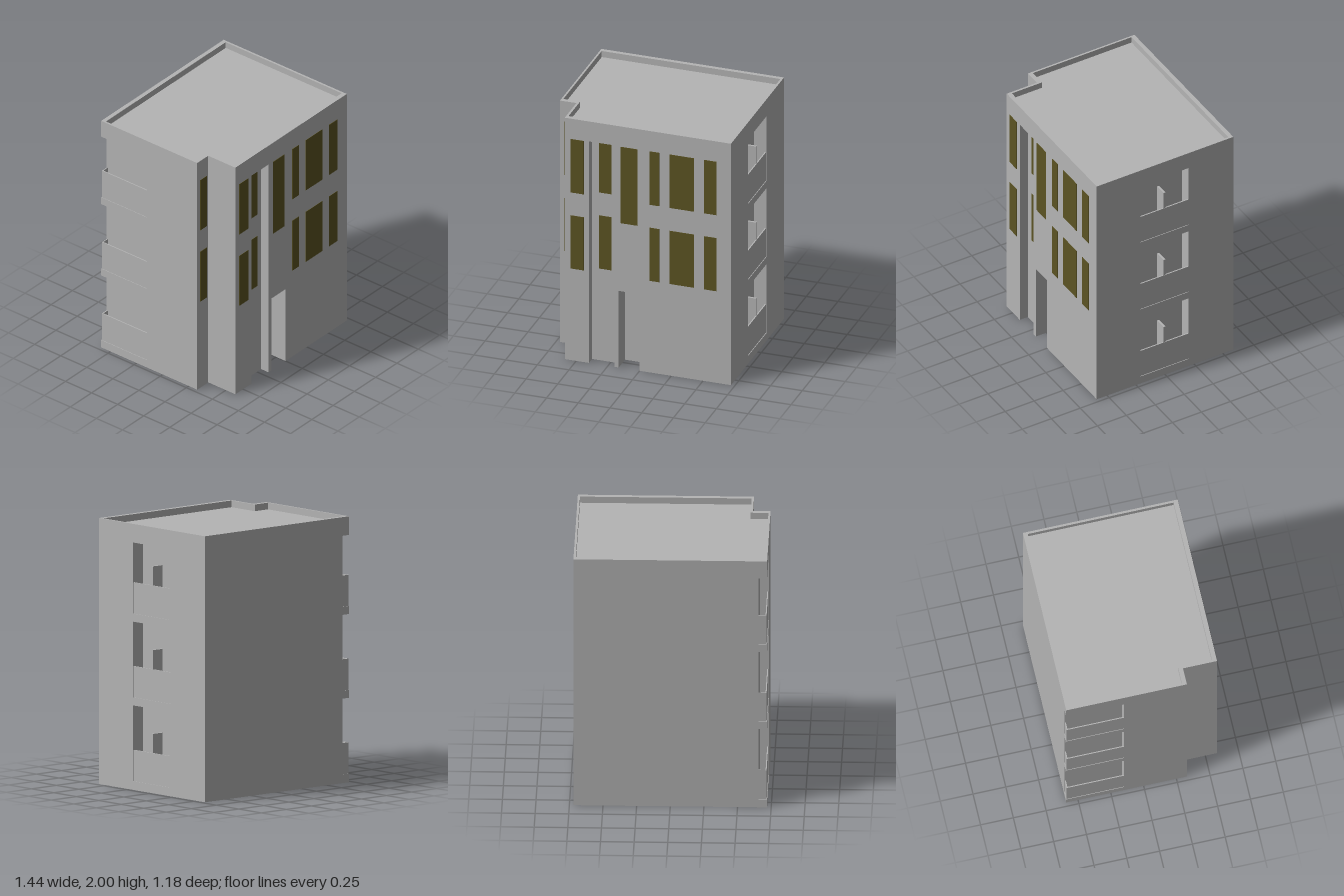
import * as THREE from 'three';

const W = 0.72, D = 0.59, H = 2, ROOF = 1.95;
const NX = -0.59, NZ = 0.33;            // front corner step
const LX = -0.655, LZ = -0.15;          // corner balcony inner limits
// floor, railing top, divider top and ceiling of each balcony level
const LEVELS = [
  [0.065, 0.3, 0.445, 0.635],
  [0.695, 0.93, 1.075, 1.265],
  [1.325, 1.56, 1.705, 1.86],
];

export function createModel() {
  const model = new THREE.Group();
  model.name = 'building';

  const wall = new THREE.MeshStandardMaterial({ color: 0xb4b4b4, side: THREE.DoubleSide });
  wall.name = 'wall grey';
  const glass = new THREE.MeshStandardMaterial({ color: 0x5b5322, side: THREE.DoubleSide });
  glass.name = 'window olive';

  const add = (name, geo, mat = wall, parent = model) => {
    const mesh = new THREE.Mesh(geo, mat);
    mesh.name = name;
    parent.add(mesh);
    return mesh;
  };
  const path = (pts) => pts.map(([u, v]) => new THREE.Vector2(u, v));
  const rect = (u0, u1, v0, v1) => [[u0, v0], [u1, v0], [u1, v1], [u0, v1]];

  // Flat sheet across one axis: z uses (x, y), x uses (z, y), y uses (x, z)
  function sheet(name, axis, at, pts, holes = [], parent = model) {
    const shape = new THREE.Shape(path(pts));
    holes.forEach((h) => shape.holes.push(new THREE.Path(path(h))));
    const geo = new THREE.ShapeGeometry(shape);
    if (axis === 'x') geo.rotateY(-Math.PI / 2).translate(at, 0, 0);
    else if (axis === 'y') geo.rotateX(Math.PI / 2).translate(0, at, 0);
    else geo.translate(0, 0, at);
    return add(name, geo, wall, parent);
  }

  // Recess lined on every side except the open ones
  function pocket(name, [x0, x1], [y0, y1], [z0, z1], open) {
    const group = new THREE.Group();
    group.name = name;
    model.add(group);
    const sides = {
      '-x': ['x', x0, rect(z0, z1, y0, y1)], '+x': ['x', x1, rect(z0, z1, y0, y1)],
      '-y': ['y', y0, rect(x0, x1, z0, z1)], '+y': ['y', y1, rect(x0, x1, z0, z1)],
      '-z': ['z', z0, rect(x0, x1, y0, y1)], '+z': ['z', z1, rect(x0, x1, y0, y1)],
    };
    for (const [key, [axis, at, pts]] of Object.entries(sides))
      if (!open.includes(key)) sheet(name + 'Lining', axis, at, pts, [], group);
    return group;
  }

  function box(name, [x0, x1], [y0, y1], [z0, z1], mat = wall) {
    const geo = new THREE.BoxGeometry(x1 - x0, y1 - y0, z1 - z0);
    return add(name, geo.translate((x0 + x1) / 2, (y0 + y1) / 2, (z0 + z1) / 2), mat);
  }

  // Front wall, with the tall slot and the doorway cut from its foot
  sheet('frontWall', 'z', D, [
    [NX, 0], [-0.4, 0], [-0.4, 1.835], [-0.2, 1.835], [-0.2, 0], [-0.165, 0],
    [-0.165, 0.635], [0, 0.635], [0, 0], [W, 0], [W, H], [NX, H],
  ]);
  pocket('frontSlot', [-0.4, -0.2], [0, 1.835], [0.52, D], ['+z', '-y']);
  pocket('doorway', [-0.165, 0], [0, 0.635], [0.45, D], ['+z', '-y']);

  // Stepped corner
  sheet('stepFrontWall', 'z', NZ, rect(-W, NX, 0, H));
  sheet('stepSideWall', 'x', NX, rect(NZ, D, 0, H));

  // Side wall with balcony openings
  sheet('balconySideWall', 'x', W, rect(-D, D, 0, H),
    LEVELS.map(([floor, , , top]) => rect(-0.205, 0.21, floor, top)));

  // Back wall and other side wall, both notched at their shared corner
  const notched = (outer, inner, far) => [
    [far, 0], [outer, 0],
    ...LEVELS.flatMap(([f, , , t]) => [[outer, f], [inner, f], [inner, t], [outer, t]]),
    [outer, H], [far, H],
  ];
  sheet('backWall', 'z', -D, notched(-W, LX, W));
  sheet('cornerSideWall', 'x', -W, notched(-D, LZ, NZ));

  for (const [floor, rail, fin, top] of LEVELS) {
    // Side balcony with railing wall and divider
    pocket('sideBalcony', [0.62, W], [floor, top], [-0.205, 0.21], ['+x']);
    box('sideRailing', [W - 0.015, W - 0.005], [floor, rail], [-0.205, 0.21]);
    box('balconyDivider', [0.62, W - 0.006], [floor, fin], [-0.007, 0.009]);
    // Corner balcony with railing on both open sides
    pocket('cornerBalcony', [-W, LX], [floor, top], [-D, LZ], ['-x', '-z']);
    box('cornerRailingSide', [-W + 0.004, -W + 0.012], [floor, rail], [-D + 0.004, LZ]);
    box('cornerRailingBack', [-W + 0.004, LX], [floor, rail], [-D + 0.004, -D + 0.012]);
  }

  // Roof deck inside a low rim
  const outer = [[-W, -D], [W, -D], [W, D], [NX, D], [NX, NZ], [-W, NZ]];
  const inner = [[-0.705, -0.557], [0.703, -0.557], [0.703, 0.555],
    [-0.573, 0.555], [-0.573, 0.296], [-0.705, 0.296]];
  sheet('roofRim', 'y', H, outer, [inner]);
  sheet('roofDeck', 'y', ROOF, inner);
  inner.forEach(([x0, z0], i) => {
    const [x1, z1] = inner[(i + 1) % inner.length];
    if (x0 === x1) sheet('rimInnerFace', 'x', x0, rect(Math.min(z0, z1), Math.max(z0, z1), ROOF, H));
    else sheet('rimInnerFace', 'z', z0, rect(Math.min(x0, x1), Math.max(x0, x1), ROOF, H));
  });

  // Windows: thin panes set through the wall, two rows
  const pane = (x0, x1, y0, y1, z) =>
    box('window', [x0, x1], [y0, y1], [z - 0.003, z + 0.003], glass);
  const columns = [[-0.685, -0.61, NZ], [-0.545, -0.44, D], [-0.345, -0.245, 0.52],
    [0.077, 0.155, D], [0.235, 0.43, D], [0.51, 0.605, D]];
  for (const [x0, x1, z] of columns) {
    pane(x0, x1, 0.76, 1.2, z);
    pane(x0, x1, 1.39, 1.832, z);
  }
  pane(-0.15, -0.015, 1.2, 1.832, D); // tall stair window

  return model;
}
